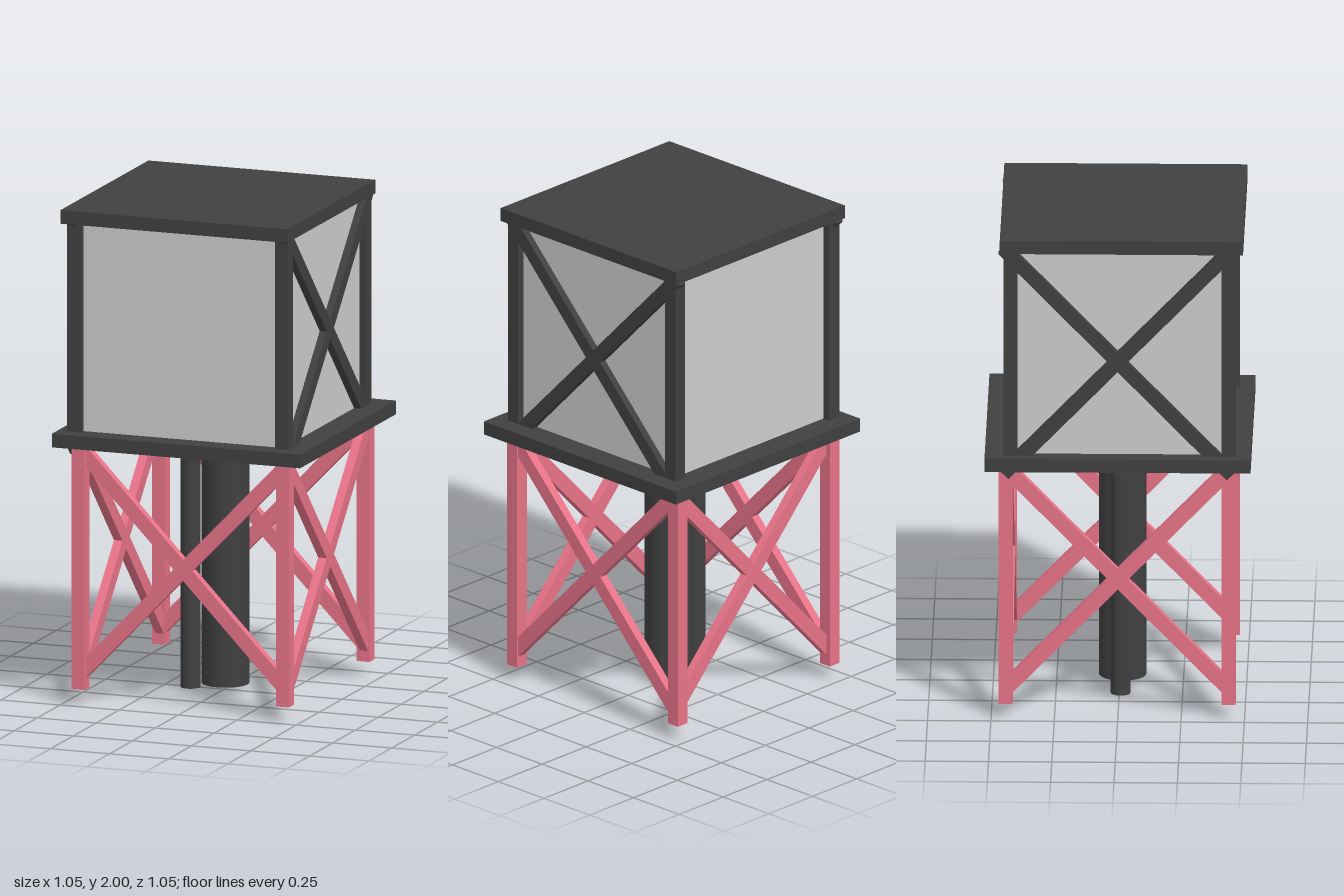
import * as THREE from 'three';

const grey = new THREE.MeshStandardMaterial({ color: 0xcccccc });
const dark = new THREE.MeshStandardMaterial({ color: 0x404040 });
const red = new THREE.MeshStandardMaterial({ color: 0xe77388 });

export function createModel() {
  const model = new THREE.Group();

  const add = (name, geometry, material, x, y, z) => {
    const mesh = new THREE.Mesh(geometry, material);
    mesh.name = name;
    mesh.position.set(x, y, z);
    model.add(mesh);
    return mesh;
  };

  // Box given by its minimum and maximum on each axis
  const box = (name, material, [x0, x1], [y0, y1], [z0, z1]) =>
    add(name, new THREE.BoxGeometry(x1 - x0, y1 - y0, z1 - z0), material,
      (x0 + x1) / 2, (y0 + y1) / 2, (z0 + z1) / 2);

  // Two crossing diagonal beams; alongZ lays them in the side plane
  const crossBrace = (name, material, x, y, z, length, width, depth, alongZ) => {
    const cross = new THREE.Group();
    cross.name = name;
    for (const s of [-1, 1]) {
      const beam = new THREE.Mesh(new THREE.BoxGeometry(length, width, depth), material);
      beam.name = 'diagonalBeam';
      beam.rotation.z = s * Math.atan(1.04);
      cross.add(beam);
    }
    cross.position.set(x, y, z);
    if (alongZ) cross.rotation.y = Math.PI / 2;
    model.add(cross);
  };

  // Roof and deck
  box('roof', dark, [-0.5, 0.46], [1.945, 2], [-0.465, 0.495]);
  box('deck', dark, [-0.525, 0.525], [1.045, 1.1], [-0.525, 0.525]);

  // Cabin walls, set back from the posts
  box('cabinWalls', grey, [-0.455, 0.42], [1.1, 1.945], [-0.42, 0.435]);

  // Cabin corner posts
  for (const x of [[-0.485, -0.425], [0.395, 0.45]]) {
    for (const z of [[-0.45, -0.395], [0.41, 0.465]]) {
      box('cabinPost', dark, x, [1.08, 1.945], z);
    }
  }

  // Cross braces on the two cabin sides
  for (const x of [-0.465, 0.432]) {
    crossBrace('cabinBrace', dark, x, 1.49, 0, 1.3, 0.056, 0.036, true);
  }

  // Legs
  for (const x of [[-0.465, -0.41], [0.4, 0.455]]) {
    for (const z of [[-0.47, -0.415], [0.41, 0.465]]) {
      box('leg', red, x, [0.06, 1.05], z);
    }
  }

  // Cross braces between the legs on all four sides
  for (const s of [-1, 1]) {
    crossBrace('legBrace', red, 0, 0.575, s * 0.432, 1.25, 0.058, 0.036, false);
    crossBrace('legBraceSide', red, s * 0.432, 0.575, 0, 1.25, 0.058, 0.036, true);
  }

  // Main riser and drain pipe
  add('mainPipe', new THREE.CylinderGeometry(0.094, 0.094, 1.07, 32), dark, 0.01, 0.565, 0.01);
  add('drainPipe', new THREE.CylinderGeometry(0.039, 0.039, 1.1, 32), dark, -0.14, 0.55, 0.005);

  return model;
}
